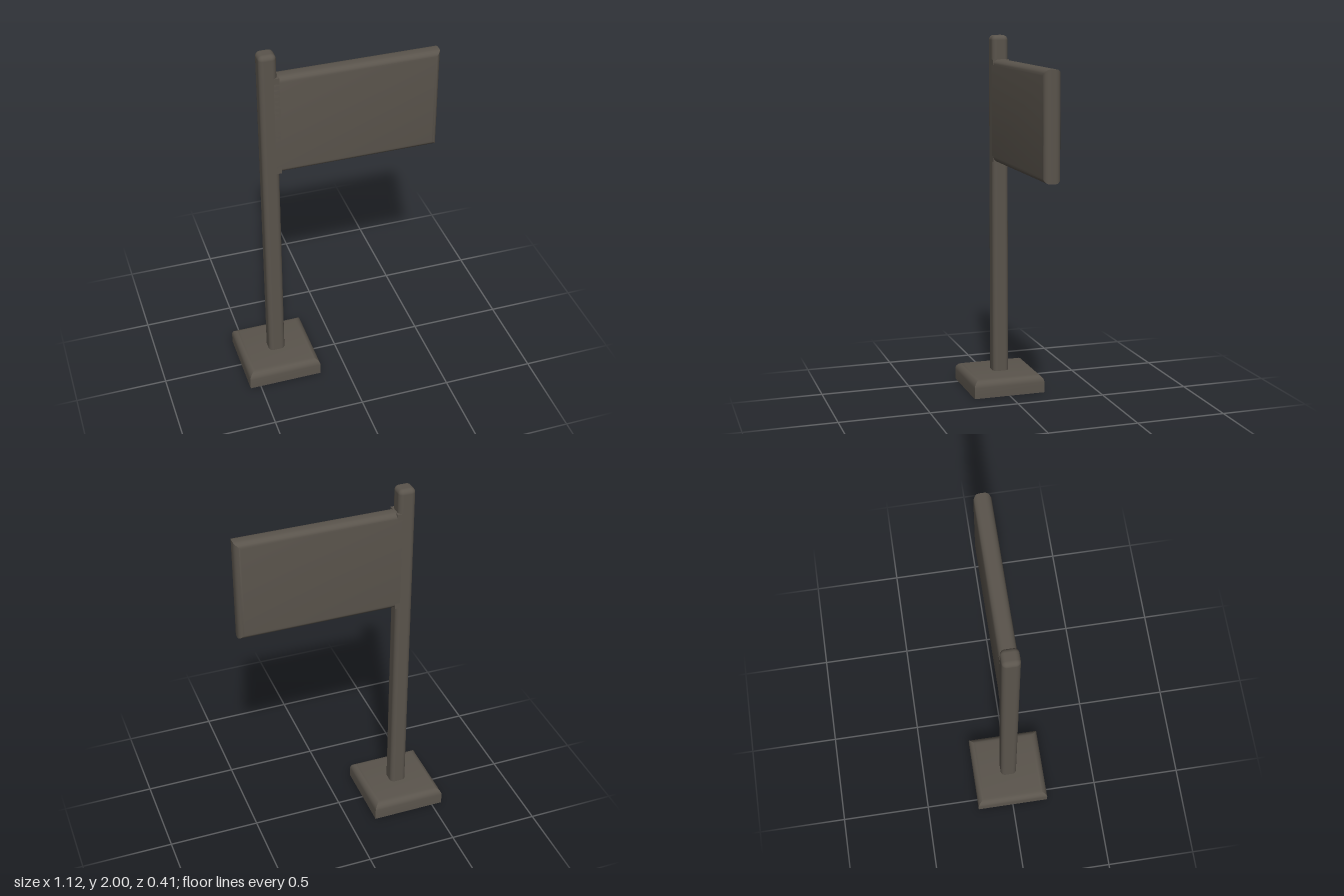
import * as THREE from 'three';
import { toCreasedNormals } from 'three/addons/utils/BufferGeometryUtils.js';
import { RoundedBoxGeometry } from 'three/addons/geometries/RoundedBoxGeometry.js';

// Rectangular slab along z with quarter-round edges meeting in sharp mitred corners.
// z runs from 0 to depth; the back edge is rounded only when bothSides is true.
function mitredSlab(width, height, depth, radius, bothSides) {
  const steps = 5;
  const sections = []; // [z, inset]
  for (let i = 0; i <= steps; i++) {
    const a = (i / steps) * Math.PI / 2;
    sections.push([depth - radius + radius * Math.sin(a), radius * (1 - Math.cos(a))]);
  }
  if (bothSides) sections.unshift(...sections.map(([z, inset]) => [depth - z, inset]).reverse());
  else sections.unshift([0, 0]);

  const positions = [];
  const index = [];
  for (const [z, inset] of sections) {
    const x = width / 2 - inset, y = height / 2 - inset;
    positions.push(-x, -y, z, x, -y, z, x, y, z, -x, y, z);
  }
  for (let s = 0; s < sections.length - 1; s++) {
    for (let k = 0; k < 4; k++) {
      const a = s * 4 + k, b = s * 4 + (k + 1) % 4;
      index.push(a, b, b + 4, a, b + 4, a + 4);
    }
  }
  const t = (sections.length - 1) * 4;
  index.push(t, t + 1, t + 2, t, t + 2, t + 3, 0, 2, 1, 0, 3, 2);

  const geometry = new THREE.BufferGeometry();
  geometry.setAttribute('position', new THREE.Float32BufferAttribute(positions, 3));
  geometry.setIndex(index);
  return toCreasedNormals(geometry, 0.6);
}

export function createModel() {
  const group = new THREE.Group();
  const material = new THREE.MeshStandardMaterial({ color: 0x5a544c });
  const postX = -0.354;

  function add(name, geometry, x, y, z) {
    const mesh = new THREE.Mesh(geometry, material);
    mesh.name = name;
    mesh.position.set(x, y, z);
    group.add(mesh);
  }

  // Square foot, rounded around the top edge only
  add('base', mitredSlab(0.41, 0.41, 0.1, 0.04, false).rotateX(-Math.PI / 2), postX, 0, 0);

  // Upright with rounded edges and a softened cap
  add('post', new RoundedBoxGeometry(0.092, 1.95, 0.092, 4, 0.026), postX, 1.025, 0);

  // Panel projecting to one side, as thick as the post
  const left = -0.36, right = 0.556, bottom = 1.305, top = 1.87;
  add('panel', mitredSlab(right - left, top - bottom, 0.092, 0.032, true),
    (left + right) / 2, (bottom + top) / 2, -0.046);

  // Square-edged strip joining the panel flush to the post
  add('panelJoint', new THREE.BoxGeometry(0.052, top - bottom, 0.092), -0.325, (bottom + top) / 2, 0);

  return group;
}
